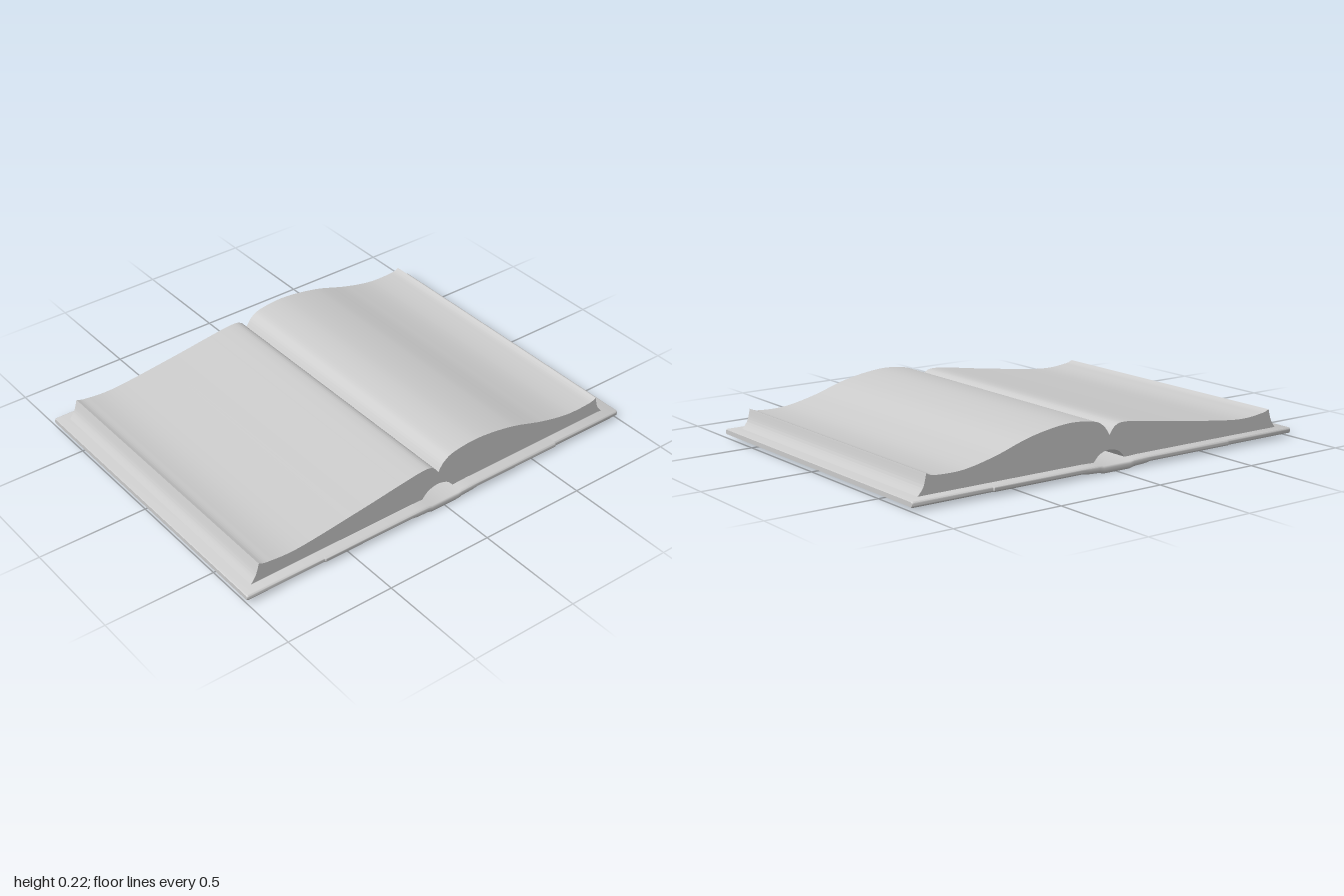
import * as THREE from 'three';
import { toCreasedNormals } from 'three/addons/utils/BufferGeometryUtils.js';

const material = new THREE.MeshStandardMaterial({ color: 0xcccccc });

function addMesh(group, name, geometry) {
  const mesh = new THREE.Mesh(toCreasedNormals(geometry, 0.65), material);
  mesh.name = name;
  group.add(mesh);
}

const points = (list) => list.map(([x, y]) => new THREE.Vector2(x, y));

// Open page block: curled fore edges, two unequal page swells, a gutter and an arch behind the spine
function pagesGeometry() {
  const s = new THREE.Shape();
  s.moveTo(-0.95, 0.038);
  s.splineThru(points([[-0.925, 0.073], [-0.908, 0.125]]));
  s.splineThru(points([[-0.86, 0.112], [-0.71, 0.106], [-0.4, 0.144], [-0.2, 0.173], [-0.08, 0.187], [-0.03, 0.177], [0, 0.142]]));
  s.splineThru(points([[0.03, 0.183], [0.085, 0.21], [0.22, 0.221], [0.4, 0.195], [0.58, 0.142], [0.73, 0.112], [0.86, 0.112], [0.903, 0.125]]));
  s.splineThru(points([[0.917, 0.073], [0.945, 0.038]]));
  s.lineTo(0.082, 0.038);
  s.splineThru(points([[0.05, 0.068], [0, 0.081], [-0.05, 0.068], [-0.082, 0.038]]));
  s.closePath();
  const g = new THREE.ExtrudeGeometry(s, { depth: 1.372, bevelEnabled: false, curveSegments: 20 });
  return g.translate(0, 0, -0.686);
}

// Cover: rounded section lofted along x, dipping at the spine
function coverGeometry() {
  // x, bottom, top, half depth
  const half = [[0, 0, 0.033, 0.74], [0.07, 0, 0.033, 0.74], [0.09, 0.006, 0.038, 0.74],
    [0.15, 0.009, 0.04, 0.74], [0.18, 0.014, 0.04, 0.74], [0.62, 0.014, 0.04, 0.74],
    [0.625, 0.014, 0.04, 0.735], [0.994, 0.014, 0.04, 0.735], [1, 0.017, 0.037, 0.732]];
  const stations = [...half.slice(1).reverse().map(([x, ...r]) => [-x, ...r]), ...half];
  const n = 16, r = 0.01, pos = [], index = [];
  for (const [x, bottom, top, depth] of stations) {
    for (let q = 0; q < 4; q++) {
      for (let k = 0; k < 4; k++) {
        const a = (q + k / 3) * Math.PI / 2;
        const z = (q === 0 || q === 3 ? 1 : -1) * (depth - r);
        const y = q < 2 ? top - r : bottom + r;
        pos.push(x, y + r * Math.sin(a), z + r * Math.cos(a));
      }
    }
  }
  const last = (stations.length - 1) * n;
  for (let i = 0; i < last; i += n) {
    for (let j = 0; j < n; j++) {
      const k = (j + 1) % n;
      index.push(i + j, i + n + j, i + k, i + n + j, i + n + k, i + k);
    }
  }
  // End caps
  for (let j = 1; j < n - 1; j++) {
    index.push(0, j, j + 1, last, last + j + 1, last + j);
  }
  const g = new THREE.BufferGeometry();
  g.setAttribute('position', new THREE.Float32BufferAttribute(pos, 3));
  g.setIndex(index);
  return g;
}

export function createModel() {
  const book = new THREE.Group();
  book.name = 'openBook';
  addMesh(book, 'cover', coverGeometry());
  addMesh(book, 'pages', pagesGeometry());
  return book;
}
